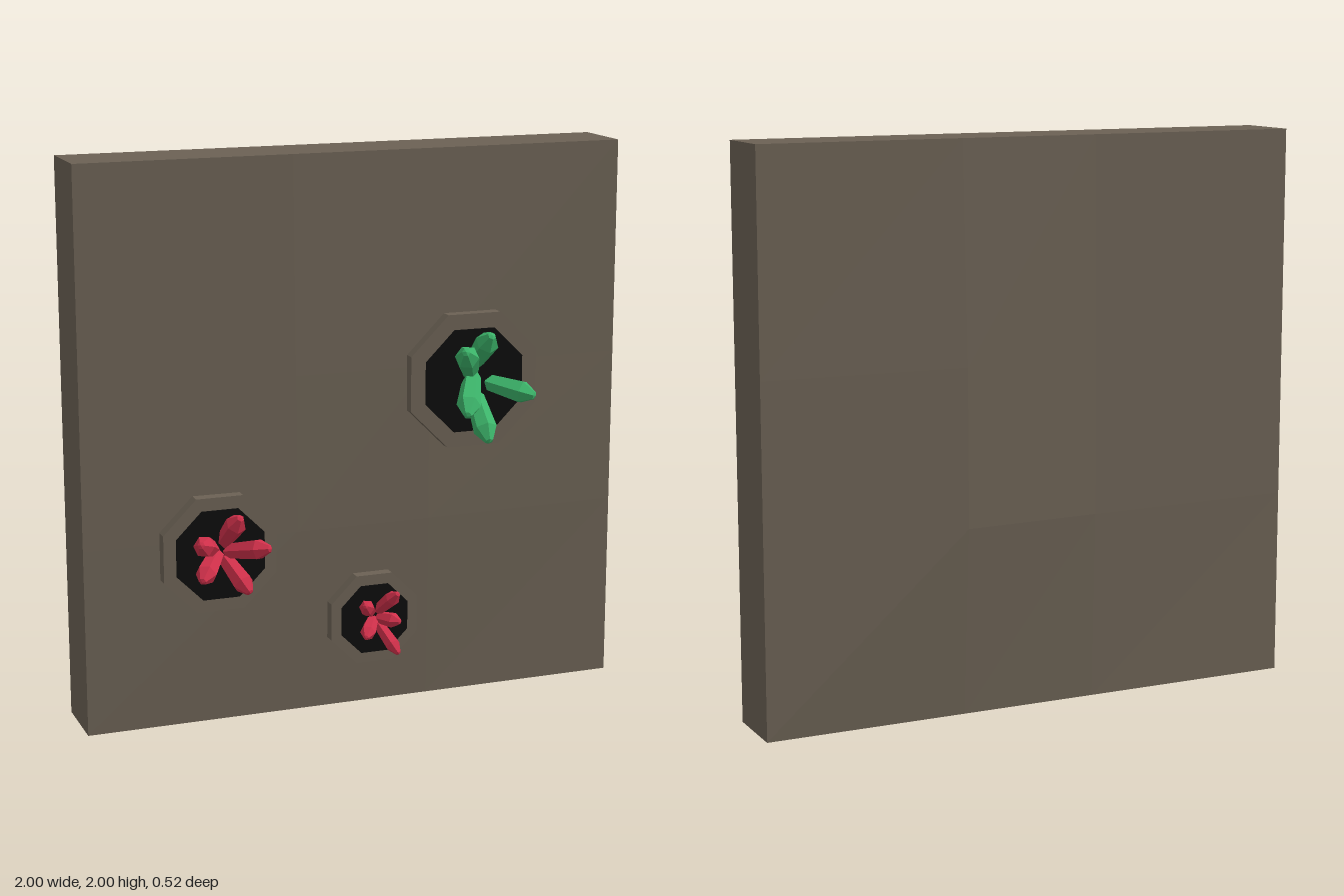
import * as THREE from 'three';

const mat = (name, color, extra = {}) => {
  const m = new THREE.MeshStandardMaterial({ color, flatShading: true, ...extra });
  m.name = name;
  return m;
};

// Thin-walled slab, open underneath, with gently bulging front and back
function slabGeometry() {
  const xs = [-1, -0.23, 0.27, 1], ys = [0, 0.67, 1.23, 2];
  const edgeFront = 0.035, edgeBack = -0.215;
  // bulge depth at the four inner grid points, [row][column]
  const front = [[0.056, 0.053], [0.05, 0.05]];
  const back = [[-0.236, -0.255], [-0.231, -0.25]];
  const point = (i, j, inner, edge) => {
    const inside = i > 0 && i < 3 && j > 0 && j < 3;
    return [xs[i], ys[j], inside ? inner[j - 1][i - 1] : edge];
  };
  const f = (i, j) => point(i, j, front, edgeFront);
  const b = (i, j) => point(i, j, back, edgeBack);
  const pos = [];
  const quad = (p, q, r, s) => pos.push(...p, ...q, ...r, ...p, ...r, ...s);
  for (let i = 0; i < 3; i++) {
    for (let j = 0; j < 3; j++) {
      quad(f(i, j), f(i + 1, j), f(i + 1, j + 1), f(i, j + 1));
      quad(b(i + 1, j), b(i, j), b(i, j + 1), b(i + 1, j + 1));
    }
    quad(f(i, 3), f(i + 1, 3), b(i + 1, 3), b(i, 3)); // top
    quad(f(3, i), b(3, i), b(3, i + 1), f(3, i + 1)); // left side
    quad(b(0, i), f(0, i), f(0, i + 1), b(0, i + 1)); // right side
  }
  const g = new THREE.BufferGeometry();
  g.setAttribute('position', new THREE.Float32BufferAttribute(pos, 3));
  g.computeVertexNormals();
  return g;
}

// Octagonal plate facing +z, flat sides square to the axes
function octagon(halfWidth, z0, z1) {
  const r = halfWidth / Math.cos(Math.PI / 8);
  const g = new THREE.CylinderGeometry(r, r, z1 - z0, 8);
  g.rotateY(Math.PI / 8);
  g.rotateX(Math.PI / 2);
  g.translate(0, 0, (z0 + z1) / 2);
  return g;
}

// Six-sided crystal from base to tip: slim foot, wide shoulder, blunt point
function crystal(base, tip, radius, material) {
  const a = new THREE.Vector3(...base), d = new THREE.Vector3(...tip).sub(a);
  const len = d.length();
  const profile = [[0, 0], [0.75, 0], [1, 0.72], [0.35, 0.97], [0, 1]]
    .map(([r, h]) => new THREE.Vector2(r * radius, h * len));
  const mesh = new THREE.Mesh(new THREE.LatheGeometry(profile, 6), material);
  mesh.position.copy(a);
  mesh.quaternion.setFromUnitVectors(new THREE.Vector3(0, 1, 0), d.normalize());
  mesh.name = 'crystal';
  return mesh;
}

export function createModel() {
  const stone = mat('stone', 0x6b6154, { side: THREE.DoubleSide });
  const dark = mat('hollow black', 0x0d0d0d);
  const red = mat('crystal red', 0xcf304a);
  const green = mat('crystal green', 0x3cb46a);

  const model = new THREE.Group();
  model.name = 'crystalWall';
  const slab = new THREE.Mesh(slabGeometry(), stone);
  slab.name = 'wallSlab';
  model.add(slab);

  // Crystals: base x, y then tip x, y, z, measured from the geode centre
  const geodes = [
    { name: 'greenGeode', x: 0.425, y: 1.175, outer: 0.24, inner: 0.185, radius: 0.043, material: green,
      crystals: [
        [-0.01, 0.03, -0.1, 0.14, 0.25], [0.005, 0.06, 0.015, 0.185, 0.215],
        [0.0, 0.01, -0.095, -0.09, 0.257], [0.01, -0.06, 0.005, -0.2, 0.225],
        [0.06, -0.015, 0.19, -0.05, 0.205]] },
    { name: 'redGeode', x: -0.525, y: 0.628, outer: 0.205, inner: 0.16, radius: 0.038, material: red,
      crystals: [
        [0.015, 0.04, 0.045, 0.155, 0.19], [-0.025, 0.015, -0.105, 0.075, 0.205],
        [-0.01, 0, -0.105, -0.055, 0.215], [0.025, 0.005, 0.145, 0.04, 0.215],
        [0.02, -0.02, 0.07, -0.115, 0.21]] },
    { name: 'smallRedGeode', x: 0.048, y: 0.328, outer: 0.163, inner: 0.125, radius: 0.028, material: red,
      crystals: [
        [-0.01, 0.02, -0.068, 0.08, 0.18], [0.015, 0.02, 0.055, 0.115, 0.185],
        [0, -0.005, -0.072, -0.035, 0.195], [0.015, -0.02, 0.055, -0.11, 0.195],
        [0.01, 0, 0.072, 0, 0.165]] },
  ];

  for (const { name, x, y, outer, inner, radius, material, crystals } of geodes) {
    const geode = new THREE.Group();
    geode.name = name;
    geode.position.set(x, y, 0);
    const rim = new THREE.Mesh(octagon(outer, 0.005, 0.09), stone);
    rim.name = 'stoneRim';
    const hollow = new THREE.Mesh(octagon(inner, 0.088, 0.096), dark);
    hollow.name = 'darkHollow';
    geode.add(rim, hollow);
    for (const [bx, by, tx, ty, tz] of crystals) {
      geode.add(crystal([bx, by, 0.075], [tx, ty, tz], radius, material));
    }
    model.add(geode);
  }
  return model;
}
